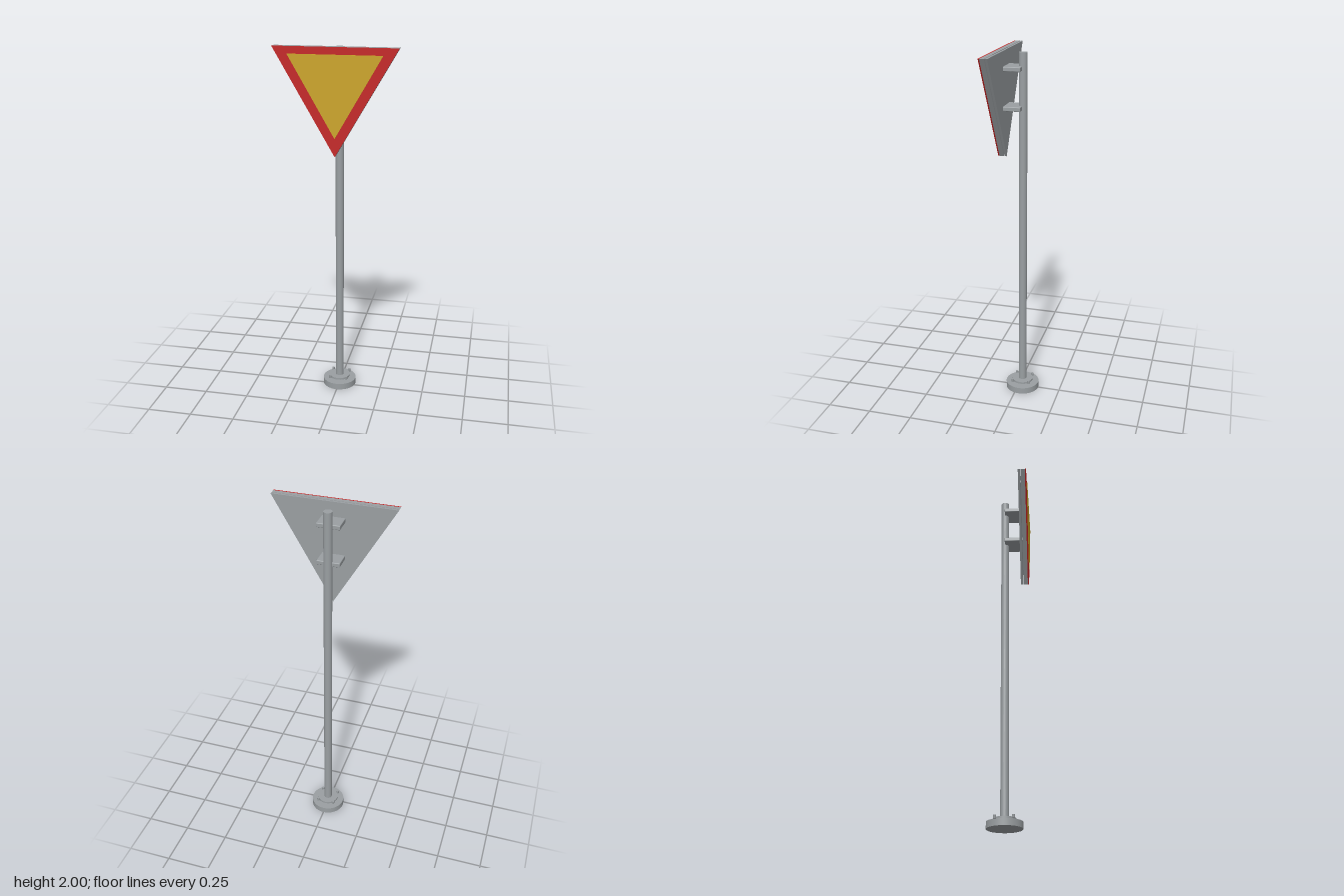
import * as THREE from 'three';
import { RoundedBoxGeometry } from 'three/addons/geometries/RoundedBoxGeometry.js';

const POLE_Z = -0.025;

function material(name, color) {
  const m = new THREE.MeshStandardMaterial({ color });
  m.name = name;
  return m;
}

// Downward-pointing triangular plate between two depths
function trianglePlate(halfWidth, top, bottom, zBack, zFront) {
  const shape = new THREE.Shape([
    new THREE.Vector2(-halfWidth, top),
    new THREE.Vector2(0, bottom),
    new THREE.Vector2(halfWidth, top),
  ]);
  const g = new THREE.ExtrudeGeometry(shape, { depth: zFront - zBack, bevelEnabled: false });
  return g.translate(0, 0, zBack);
}

// Upright cylinder between two heights
function post(radius, y0, y1, segments, x = 0, z = POLE_Z) {
  return new THREE.CylinderGeometry(radius, radius, y1 - y0, segments).translate(x, (y0 + y1) / 2, z);
}

export function createModel() {
  const group = new THREE.Group();
  const grey = material('galvanised grey', 0x9a9fa2);
  const red = material('border red', 0xc42222);
  const yellow = material('panel yellow', 0xcba424);

  const add = (name, geometry, mat) => {
    const mesh = new THREE.Mesh(geometry, mat);
    mesh.name = name;
    group.add(mesh);
  };

  // Foot, flange and pole
  add('base', post(0.096, 0, 0.036, 48), grey);
  add('flange', post(0.06, 0.044, 0.055, 48), grey);
  add('pole', post(0.023, 0, 1.99, 32), grey);

  // Bolts around the flange
  for (const sx of [-1, 1]) {
    for (const sz of [-1, 1]) {
      add('bolt', post(0.008, 0.046, 0.064, 6, sx * 0.048, POLE_Z + sz * 0.048), grey);
    }
  }

  // Brackets from the pole through the back plate
  for (const y of [1.7, 1.908]) {
    const bracket = new RoundedBoxGeometry(0.126, 0.024, 0.108, 2, 0.004);
    add('bracket', bracket.translate(0, y, 0.029), grey);
  }

  // Layered sign: two grey plates with a slot between, red border, yellow panel
  add('backPlate', trianglePlate(0.333, 2, 1.426, 0.067, 0.079), grey);
  add('signBody', trianglePlate(0.333, 2, 1.426, 0.083, 0.108), grey);
  add('signBorder', trianglePlate(0.333, 2, 1.426, 0.108, 0.115), red);
  add('signPanel', trianglePlate(0.252, 1.962, 1.525, 0.115, 0.119), yellow);

  return group;
}
